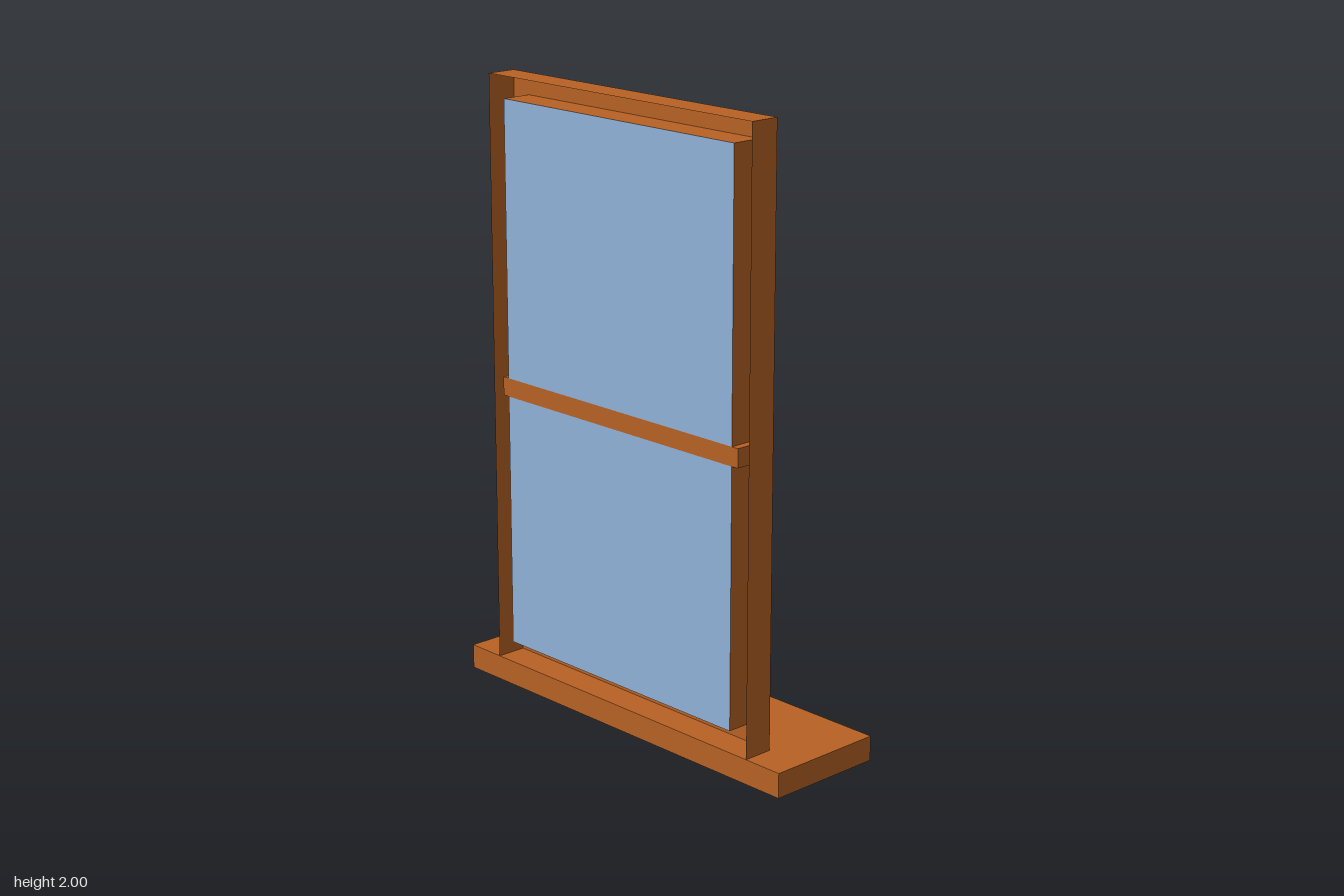
import * as THREE from 'three';

const wood = new THREE.MeshStandardMaterial({ color: 0xb86224, side: THREE.DoubleSide });
const glass = new THREE.MeshStandardMaterial({ color: 0x92b4da, side: THREE.DoubleSide });

const BACK = -0.2, FRONT = -0.1;
const outer = { z: 0.57, y0: 0.08, y1: 2 };
const inner = { z: 0.5, y0: 0.15, y1: 1.93 };
const rail = { z: 0.525, y0: 0.98, y1: 1.04, front: -0.13 };

function add(parent, name, geometry, material) {
  const mesh = new THREE.Mesh(geometry, material);
  mesh.name = name;
  parent.add(mesh);
  return mesh;
}

// Solid block given by its limits
function block(parent, name, x0, x1, y0, y1, z) {
  const mesh = add(parent, name, new THREE.BoxGeometry(x1 - x0, y1 - y0, 2 * z), wood);
  mesh.position.set((x0 + x1) / 2, (y0 + y1) / 2, 0);
}

// Upright sheet facing +x
function pane(parent, name, y0, y1) {
  const mesh = add(parent, name, new THREE.PlaneGeometry(2 * inner.z, y1 - y0), glass);
  mesh.rotation.y = Math.PI / 2;
  mesh.position.set(BACK, (y0 + y1) / 2, 0);
}

// Four walls running from the frame face to the back; sign +1 faces outwards, -1 inwards
function walls(parent, name, r, sign) {
  const depth = FRONT - BACK, x = (FRONT + BACK) / 2, mid = (r.y0 + r.y1) / 2;
  const group = new THREE.Group();
  group.name = name;
  for (const s of [1, -1]) {
    const side = add(group, name + 'Side', new THREE.PlaneGeometry(depth, r.y1 - r.y0), wood);
    side.position.set(x, mid, s * r.z);
    side.rotation.y = s * sign > 0 ? 0 : Math.PI;
    const level = add(group, name + 'Level', new THREE.PlaneGeometry(depth, 2 * r.z), wood);
    level.position.set(x, s > 0 ? r.y1 : r.y0, 0);
    level.rotation.x = -s * sign * Math.PI / 2;
  }
  parent.add(group);
}

function rectangle(r, Type) {
  return new Type([[-r.z, r.y0], [r.z, r.y0], [r.z, r.y1], [-r.z, r.y1]]
    .map(([a, b]) => new THREE.Vector2(a, b)));
}

export function createModel() {
  const model = new THREE.Group();
  model.name = 'window';

  block(model, 'sill', -0.2, 0.2, 0, 0.08, 0.706);

  // Frame: a hollow casing, open at the back
  const frame = new THREE.Group();
  frame.name = 'frame';
  const shape = rectangle(outer, THREE.Shape);
  shape.holes.push(rectangle(inner, THREE.Path));
  const face = add(frame, 'frameFace', new THREE.ShapeGeometry(shape), wood);
  face.rotation.y = Math.PI / 2;
  face.position.x = FRONT;
  walls(frame, 'frameOuter', outer, 1);
  walls(frame, 'frameReveal', inner, -1);
  model.add(frame);

  // Crossbar runs a little way into the hollow jambs
  block(model, 'crossbar', BACK, rail.front, rail.y0, rail.y1, rail.z);

  pane(model, 'lowerPane', inner.y0, rail.y0);
  pane(model, 'upperPane', rail.y1, inner.y1);

  return model;
}
